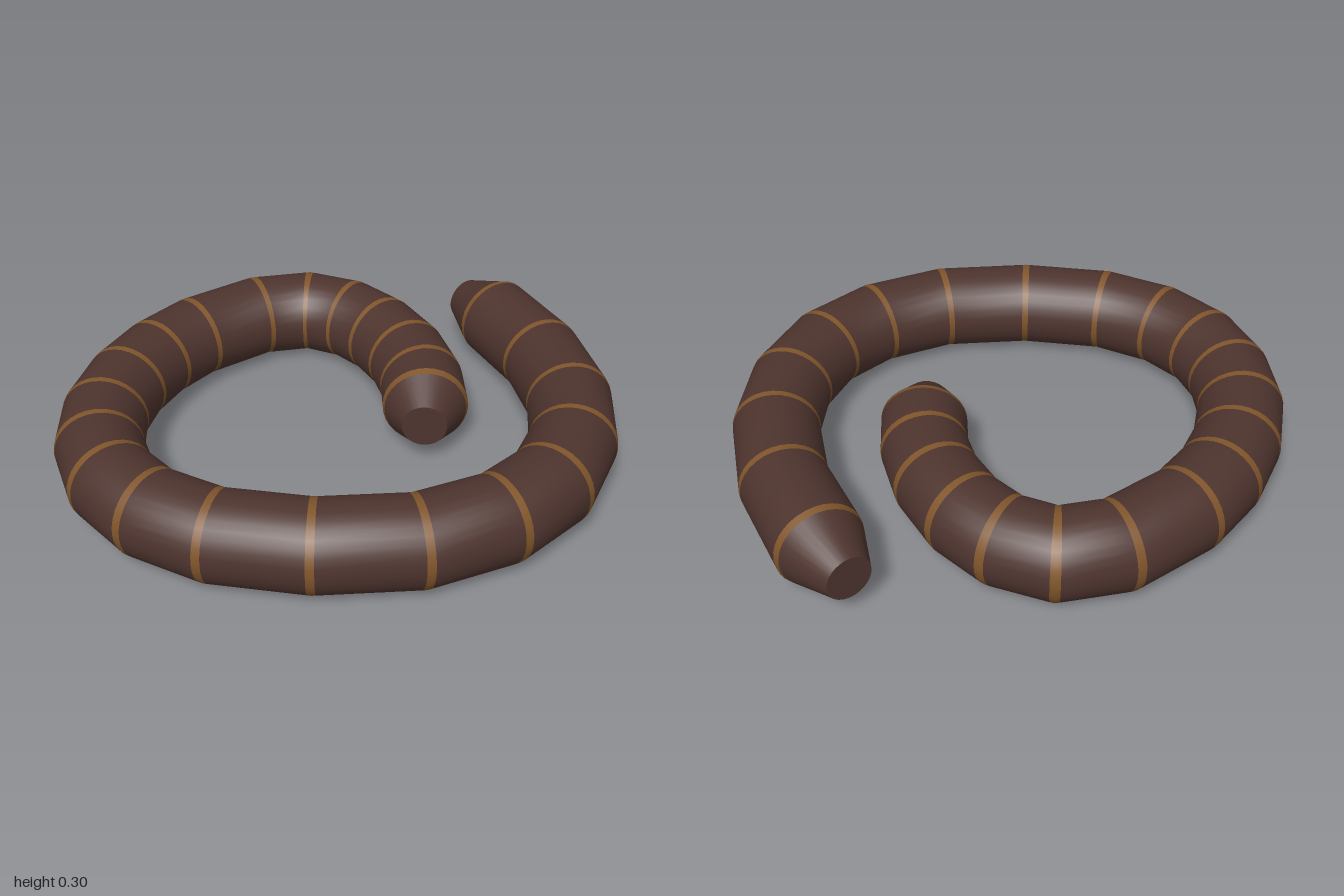
import * as THREE from 'three';

const R = 0.15, TIP = 0.078, SIDES = 32, BAND = 0.0125;

// Spine in plan (x, z), from the tail tip round the coil to the head tip
const SPINE = [
  [0.897, -0.185], [0.855, -0.012], [0.73, 0.295], [0.55, 0.538], [0.342, 0.692],
  [0.10, 0.767], [-0.147, 0.745], [-0.40, 0.625], [-0.63, 0.40], [-0.794, 0.14],
  [-0.852, -0.092], [-0.83, -0.302], [-0.738, -0.478], [-0.60, -0.615], [-0.42, -0.714],
  [-0.227, -0.767], [-0.024, -0.775], [0.25, -0.71], [0.407, -0.59], [0.465, -0.428],
  [0.454, -0.254], [0.393, -0.077], [0.297, 0.072], [0.184, 0.18], [0.085, 0.256],
].map(([x, z]) => new THREE.Vector3(x, R, z));

// Skin through round sections {c: centre, t: tangent, r: radius}
function loft(sections) {
  const pos = [], nor = [], idx = [];
  const first = sections[0], last = sections[sections.length - 1];
  const slope = (first.r - last.r) / first.c.distanceTo(last.c);
  for (const { c, t, r } of sections) {
    const side = new THREE.Vector3(t.z, 0, -t.x);
    for (let j = 0; j <= SIDES; j++) {
      const a = (j / SIDES) * Math.PI * 2;
      const out = side.clone().multiplyScalar(Math.cos(a));
      out.y = Math.sin(a);
      pos.push(...c.clone().addScaledVector(out, r).toArray());
      nor.push(...out.addScaledVector(t, slope).normalize().toArray());
    }
  }
  for (let i = 0; i < sections.length - 1; i++) {
    for (let j = 0; j < SIDES; j++) {
      const a = i * (SIDES + 1) + j, b = a + 1, c = a + SIDES + 1, d = c + 1;
      idx.push(a, b, c, b, d, c);
    }
  }
  const g = new THREE.BufferGeometry();
  g.setAttribute('position', new THREE.Float32BufferAttribute(pos, 3));
  g.setAttribute('normal', new THREE.Float32BufferAttribute(nor, 3));
  g.setIndex(idx);
  return g;
}

// Section a fixed distance from joint a towards joint b
function towards(a, b, dist) {
  const k = dist / a.c.distanceTo(b.c);
  return {
    c: a.c.clone().lerp(b.c, k),
    t: a.t.clone().lerp(b.t, k).normalize(),
    r: a.r + (b.r - a.r) * k,
  };
}

export function createModel() {
  const model = new THREE.Group();
  model.name = 'coiledBody';
  const skin = new THREE.MeshStandardMaterial({ color: 0x4e342e });
  skin.name = 'dark brown skin';
  const amber = new THREE.MeshStandardMaterial({ color: 0x80552b });
  amber.name = 'amber band';

  const add = (name, geometry, material) => {
    const mesh = new THREE.Mesh(geometry, material);
    mesh.name = name;
    model.add(mesh);
    return mesh;
  };

  const end = SPINE.length - 1;
  const joints = SPINE.map((c, i) => ({
    c,
    t: SPINE[Math.min(i + 1, end)].clone().sub(SPINE[Math.max(i - 1, 0)]).normalize(),
    r: i === 0 || i === end ? TIP : R,
  }));

  // Segments between the bands; the first and last taper to the tips
  for (let i = 0; i < end; i++) {
    const a = joints[i], b = joints[i + 1];
    const from = i === 0 ? a : towards(a, b, BAND);
    const to = i === end - 1 ? b : towards(b, a, BAND);
    const name = i === 0 ? 'tail' : i === end - 1 ? 'head' : 'segment' + i;
    add(name, loft([from, to]), skin);
  }

  // Narrow bands flush with the skin at every joint
  for (let i = 1; i < end; i++) {
    const j = joints[i];
    const before = towards(j, joints[i - 1], BAND), after = towards(j, joints[i + 1], BAND);
    add('band' + i, loft([before, j, after]), amber);
  }

  // Flat blunt tips
  for (const [name, j, sign] of [['tailTip', joints[0], -1], ['headTip', joints[end], 1]]) {
    const cap = add(name, new THREE.CircleGeometry(TIP, SIDES), skin);
    cap.position.copy(j.c);
    cap.rotation.y = Math.atan2(j.t.x * sign, j.t.z * sign);
  }
  return model;
}
